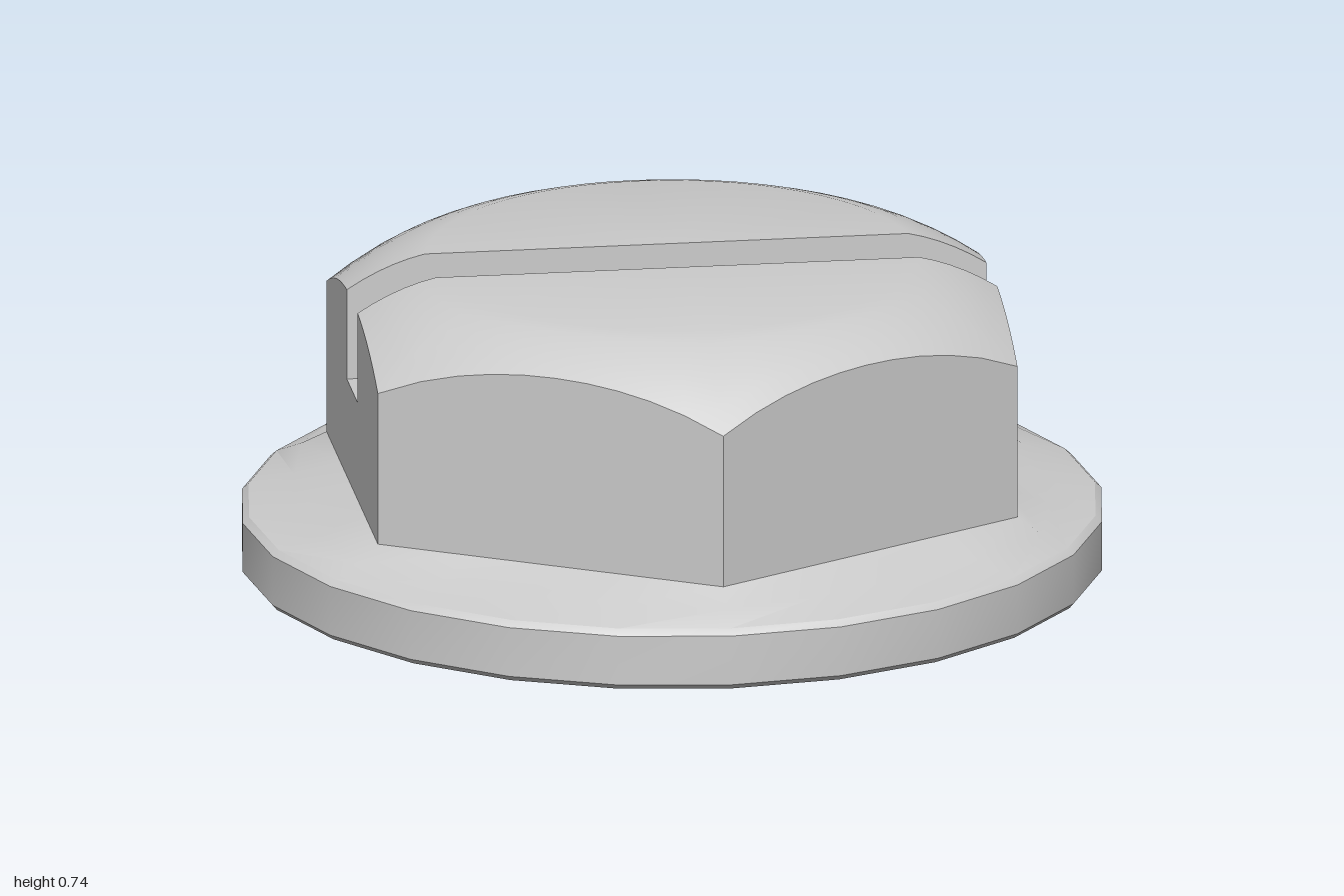
import * as THREE from 'three';
import { toCreasedNormals } from 'three/addons/utils/BufferGeometryUtils.js';

const APOTHEM = 0.745, CORNER = APOTHEM / Math.cos(Math.PI / 6);
const TOP = 0.735, FLAT_R = 0.57, SEAM = 0.205;
const SLOT = 0.09, SLOT_Y = 0.44;

const material = new THREE.MeshStandardMaterial({ color: 0xcccccc, side: THREE.DoubleSide });

// Quad surface through rows of [x, y, z] points
function grid(rows) {
  const pos = [];
  for (let i = 0; i < rows.length - 1; i++) {
    for (let j = 0; j < rows[i].length - 1; j++) {
      const a = rows[i][j], b = rows[i + 1][j], c = rows[i + 1][j + 1], d = rows[i][j + 1];
      pos.push(...a, ...c, ...b, ...a, ...d, ...c);
    }
  }
  const g = new THREE.BufferGeometry();
  g.setAttribute('position', new THREE.Float32BufferAttribute(pos, 3));
  return toCreasedNormals(g, 0.5);
}

function part(name, rows) {
  const mesh = new THREE.Mesh(grid(rows), material);
  mesh.name = name;
  return mesh;
}

// Height of the rounded chamfer at a distance from the axis
function dome(r) {
  const t = Math.max(0, r - FLAT_R);
  return TOP - 0.215 * t - 1.22 * t * t;
}

// Distance from (0, SLOT) to the hexagon's edge along an angle
function hexReach(phi) {
  let best = Infinity;
  for (let k = 0; k < 6; k++) {
    const n = k * Math.PI / 3;
    const along = Math.cos(phi - n);
    if (along > 1e-6) best = Math.min(best, (APOTHEM - Math.sin(n) * SLOT) / along);
  }
  return best;
}

// One half of the head, on the +z side of the slot
function headHalf() {
  const anchors = [0];
  for (const deg of [30, 90, 150]) {
    const a = deg * Math.PI / 180;
    anchors.push(Math.atan2(CORNER * Math.sin(a) - SLOT, CORNER * Math.cos(a)));
  }
  anchors.push(Math.PI);
  const phis = [0];
  for (let k = 0; k < 4; k++) {
    for (let s = 1; s <= 10; s++) phis.push(THREE.MathUtils.lerp(anchors[k], anchors[k + 1], s / 10));
  }
  const ring = (s) => phis.map((phi) => {
    const sn = Math.sin(phi);
    const flat = -SLOT * sn + Math.sqrt(SLOT * SLOT * sn * sn + FLAT_R * FLAT_R - SLOT * SLOT);
    const d = s < 0 ? 0 : THREE.MathUtils.lerp(flat, hexReach(phi), s);
    const x = Math.cos(phi) * d, z = SLOT + sn * d;
    return [x, dome(Math.hypot(x, z)), z];
  });
  const cap = [-1, 0, 0.2, 0.4, 0.6, 0.8, 1].map(ring);
  const edge = cap[cap.length - 1];
  const last = phis.length - 1;
  const rim = [...cap.map((r) => r[last]).reverse(), ...cap.map((r) => r[0])];

  const half = new THREE.Group();
  half.name = 'headHalf';
  half.add(
    part('chamferedTop', cap),
    part('hexSides', [edge, edge.map(([x, , z]) => [x, SEAM, z])]),
    part('slotWall', [rim, rim.map(([x, , z]) => [x, SLOT_Y, z])]),
  );
  return half;
}

// Flange: a round washer that blends into the hexagon, open underneath
function flange() {
  const N = 24;
  const loop = (radius, y) => Array.from({ length: N + 1 }, (_, j) => {
    const a = j / N * Math.PI * 2;
    const r = radius(a);
    return [Math.cos(a) * r, y, Math.sin(a) * r];
  });
  const hex = (a) => {
    const step = Math.PI / 3;
    return APOTHEM / Math.cos(a - Math.round(a / step) * step);
  };
  return part('flange', [
    loop(hex, SEAM),
    loop((a) => (hex(a) + 0.985) / 2, 0.17),
    loop(() => 0.985, 0.144),
    loop(() => 1, 0.13),
    loop(() => 1, 0.012),
    loop(() => 0.99, 0),
    loop(() => 0.43, 0),
  ]);
}

export function createModel() {
  const model = new THREE.Group();
  model.name = 'slottedHexCap';

  // Everything is built with the slot along x, then turned
  const body = new THREE.Group();
  body.name = 'body';
  body.rotation.y = 40 * Math.PI / 180;

  const front = headHalf();
  const back = headHalf();
  back.rotation.y = Math.PI;

  // Slot floor with the side strips below its two ends
  const profile = [[-APOTHEM, SEAM], [-APOTHEM, SLOT_Y], [APOTHEM, SLOT_Y], [APOTHEM, SEAM]];
  const floor = part('slotFloor', [SLOT, -SLOT].map((z) => profile.map(([x, y]) => [x, y, z])));

  body.add(front, back, floor, flange());
  model.add(body);
  return model;
}
